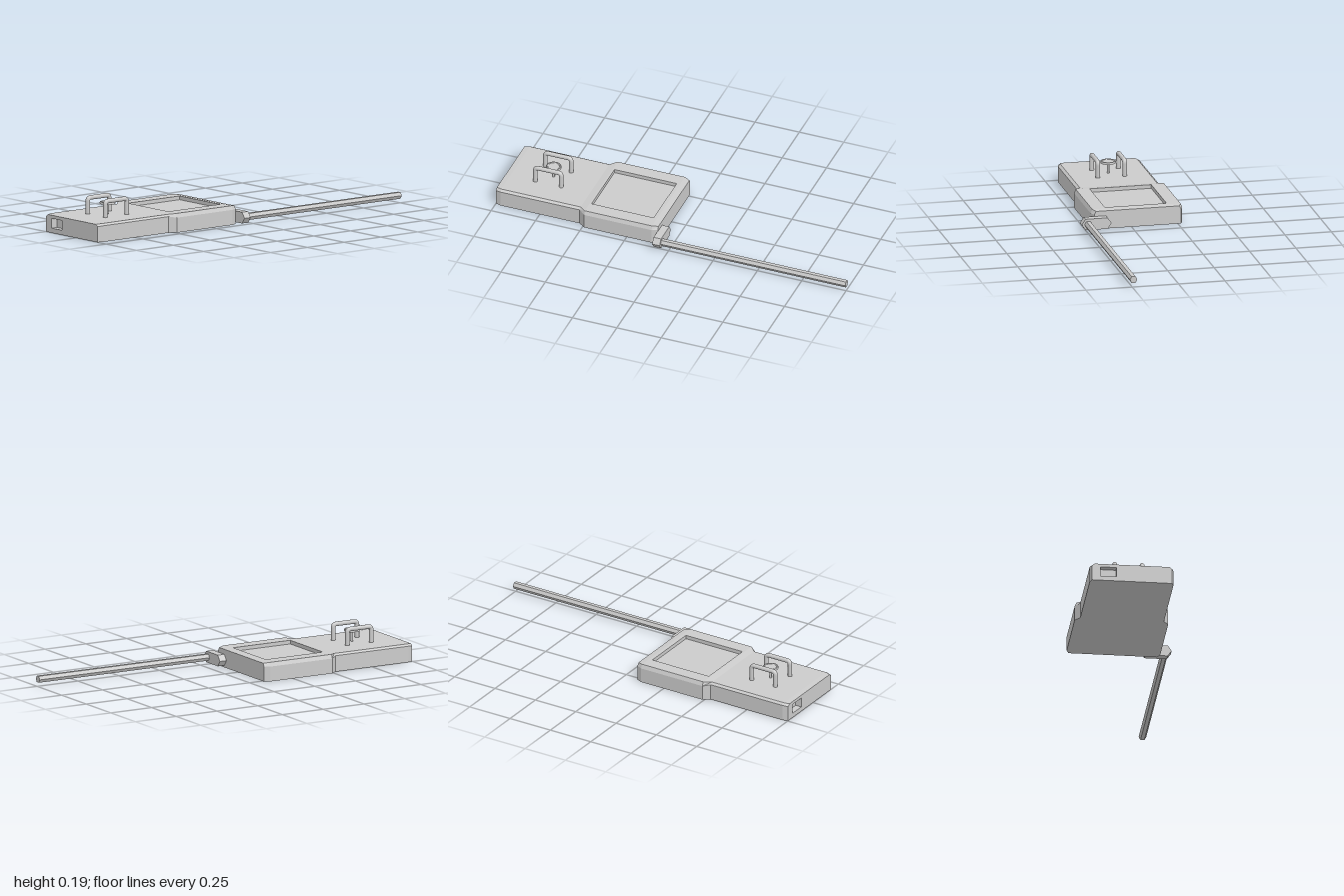
import * as THREE from 'three';
import { toCreasedNormals } from 'three/addons/utils/BufferGeometryUtils.js';

const CX = -0.033; // centre line of the body
const material = new THREE.MeshStandardMaterial({ color: 0xcccccc });
const flat = new THREE.MeshStandardMaterial({ color: 0xcccccc, flatShading: true });

function part(name, geometry, mat, x = 0, y = 0, z = 0) {
  const mesh = new THREE.Mesh(geometry, mat);
  mesh.name = name;
  mesh.position.set(x, y, z);
  return mesh;
}

// Cross-sections of the body: z, half width, shoulder height, top half width, top height
const sections = [
  [1.0, 0.212, 0.083, 0.198, 0.094],
  [0.972, 0.221, 0.086, 0.207, 0.096],
  [0.525, 0.221, 0.086, 0.207, 0.096],
  [0.49, 0.247, 0.08, 0.238, 0.101],
  [0.11, 0.247, 0.08, 0.238, 0.101],
  [0.08, 0.234, 0.08, 0.224, 0.097],
];
const ring = ([z, w, s, t, h]) =>
  [[-w, 0], [w, 0], [w, s], [t, h], [-t, h], [-w, s]].map(([x, y]) => [x + CX, y, z]);

// Lofted shell, left open at the front end and at the flat top above the screen
function shellGeometry() {
  const pos = [];
  const quad = (a, b, c, d) => pos.push(...a, ...b, ...c, ...a, ...c, ...d);
  const rings = sections.map(ring);
  for (let i = 0; i < rings.length - 1; i++) {
    const f = rings[i], b = rings[i + 1];
    for (let j = 0; j < 6; j++) {
      if (i === 3 && j === 3) continue;
      const k = (j + 1) % 6;
      quad(f[j], b[j], b[k], f[k]);
    }
  }
  const e = rings[rings.length - 1];
  quad(e[1], e[0], e[5], e[2]);
  quad(e[2], e[5], e[4], e[3]);
  const g = new THREE.BufferGeometry();
  g.setAttribute('position', new THREE.Float32BufferAttribute(pos, 3));
  g.computeVertexNormals();
  return g;
}

// Flat face with a rectangular hole
function holedFace(points, x0, x1, y0, y1) {
  const shape = new THREE.Shape(points.map(([x, y]) => new THREE.Vector2(x, y)));
  shape.holes.push(new THREE.Path([[x0, y0], [x0, y1], [x1, y1], [x1, y0]].map(p => new THREE.Vector2(...p))));
  return new THREE.ShapeGeometry(shape);
}

// Inward-facing box with one side removed
function pocket(w, h, d, openFace) {
  const g = new THREE.BoxGeometry(w, h, d);
  g.setIndex(Array.from(g.index.array).filter((_, i) => Math.floor(i / 6) !== openFace));
  g.clearGroups();
  g.scale(-1, 1, 1);
  g.computeVertexNormals();
  return g;
}

// U-shaped guard bar with rounded corners, in the YZ plane
function guardGeometry() {
  const V = (y, z) => new THREE.Vector3(0, y, z);
  const path = new THREE.CurvePath();
  const top = 0.181, a = 0.833, b = 0.687, r = 0.018;
  path.add(new THREE.LineCurve3(V(0.085, a), V(top - r, a)));
  path.add(new THREE.QuadraticBezierCurve3(V(top - r, a), V(top, a), V(top, a - r)));
  path.add(new THREE.LineCurve3(V(top, a - r), V(top, b + r)));
  path.add(new THREE.QuadraticBezierCurve3(V(top, b + r), V(top, b), V(top - r, b)));
  path.add(new THREE.LineCurve3(V(top - r, b), V(0.085, b)));
  return new THREE.TubeGeometry(path, 80, 0.012, 16);
}

export function createModel() {
  const model = new THREE.Group();
  model.name = 'handheldController';

  // Body with recessed screen and front port
  const body = new THREE.Group();
  body.name = 'body';
  body.add(part('shell', shellGeometry(), flat));
  const front = ring(sections[0]).map(([x, y]) => [x, y]);
  body.add(part('frontFace', holedFace(front, -0.2, -0.115, 0.025, 0.077), flat, 0, 0, 1));
  body.add(part('portRecess', pocket(0.085, 0.052, 0.035, 4), flat, -0.1575, 0.051, 0.9825));
  const w = sections[3][3];
  const lid = holedFace(
    [[CX - w, -0.49], [CX + w, -0.49], [CX + w, -0.11], [CX - w, -0.11]], -0.2, 0.132, -0.48, -0.13);
  lid.rotateX(-Math.PI / 2);
  body.add(part('screenBezel', lid, flat, 0, 0.101, 0));
  body.add(part('screenRecess', pocket(0.332, 0.02, 0.35, 2), flat, -0.034, 0.091, 0.305));
  model.add(body);

  // Guard bars on both sides of the stick
  const guard = guardGeometry();
  for (const [name, s] of [['rightGuard', -1], ['leftGuard', 1]])
    model.add(part(name, guard, material, CX + s * 0.072, 0, 0));

  // Thumb stick
  const stick = new THREE.Group();
  stick.name = 'thumbStick';
  stick.position.set(CX, 0, 0.758);
  stick.add(part('stem', new THREE.CylinderGeometry(0.0065, 0.0065, 0.07, 16), material, 0, 0.12, 0));
  const profile = [[0, 0.152], [0.041, 0.152], [0.041, 0.159], [0.039, 0.163], [0.034, 0.164], [0.03, 0.161], [0, 0.16]]
    .map(p => new THREE.Vector2(...p));
  stick.add(part('cap', toCreasedNormals(new THREE.LatheGeometry(profile, 32), 0.6), material));
  model.add(stick);

  // Antenna hinge with pointed ends
  const hinge = new THREE.Shape(
    [[0.117, 0.04], [0.138, 0.01], [0.257, 0.01], [0.278, 0.04], [0.257, 0.07], [0.138, 0.07]]
      .map(p => new THREE.Vector2(...p)));
  model.add(part('antennaHinge',
    new THREE.ExtrudeGeometry(hinge, { depth: 0.042, bevelEnabled: false }), flat, 0, 0, 0.04));

  // Six-sided antenna rod, edges pointing sideways
  const rod = new THREE.CylinderGeometry(0.02, 0.02, 1.05, 6);
  rod.rotateY(Math.PI / 6);
  rod.rotateX(Math.PI / 2);
  model.add(part('antenna', rod, flat, 0.243, 0.04, -0.475));

  return model;
}
